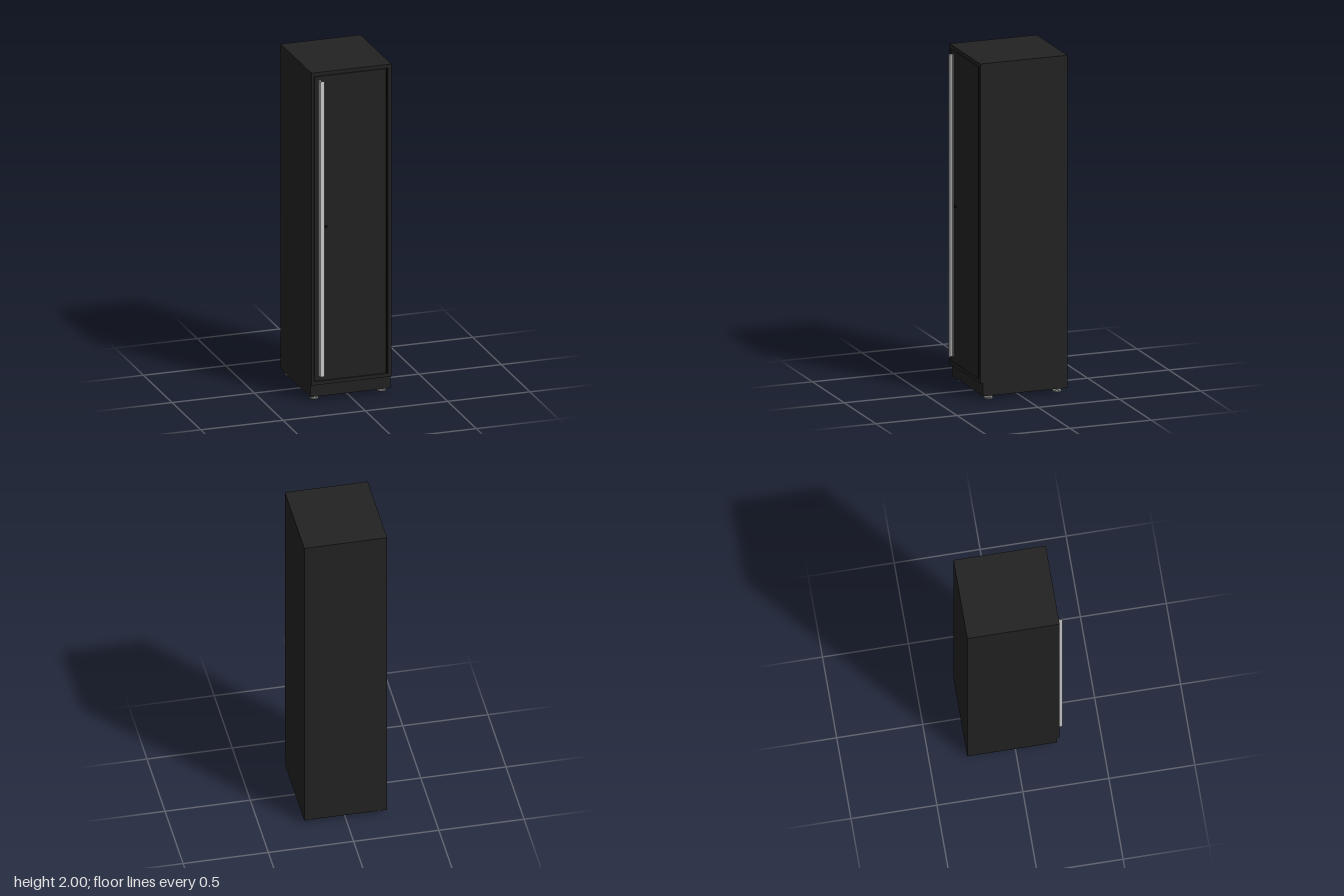
import * as THREE from 'three';

const black = new THREE.MeshStandardMaterial({ color: 0x222222 });
const dark = new THREE.MeshStandardMaterial({ color: 0x0c0c0c });
const grey = new THREE.MeshStandardMaterial({ color: 0xcccccc });
const footGrey = new THREE.MeshStandardMaterial({ color: 0x777777 });

const W = 0.243, BACK = -0.281, FRONT = 0.256;

function add(parent, name, geometry, material) {
  const mesh = new THREE.Mesh(geometry, material);
  mesh.name = name;
  parent.add(mesh);
  return mesh;
}

// Box given by its minimum and maximum corners
function block(parent, name, [x0, y0, z0], [x1, y1, z1], material) {
  const mesh = add(parent, name, new THREE.BoxGeometry(x1 - x0, y1 - y0, z1 - z0), material);
  mesh.position.set((x0 + x1) / 2, (y0 + y1) / 2, (z0 + z1) / 2);
  return mesh;
}

function polygon(points, Type = THREE.Shape) {
  return new Type(points.map(([x, y]) => new THREE.Vector2(x, y)));
}

function rectangle(x0, y0, x1, y1) {
  return [[x0, y0], [x1, y0], [x1, y1], [x0, y1]];
}

export function createModel() {
  const cabinet = new THREE.Group();
  cabinet.name = 'cabinet';

  // Carcass, whose lower front is the recessed plinth
  block(cabinet, 'carcass', [-W, 0.025, BACK], [W, 2, 0.24], black);

  // Front frame around the door opening
  const frameShape = polygon(rectangle(-W, 0.1, W, 2));
  frameShape.holes.push(polygon(rectangle(-0.226, 0.122, 0.222, 1.978).reverse(), THREE.Path));
  const frame = add(cabinet, 'frontFrame',
    new THREE.ExtrudeGeometry(frameShape, { depth: FRONT - 0.24, bevelEnabled: false }), black);
  frame.position.z = 0.24;

  // Inset door with a thin shadow gap
  block(cabinet, 'door', [-0.223, 0.125, 0.239], [0.21, 1.975, 0.2555], black);

  // Full-length hinge
  const hinge = add(cabinet, 'hinge', new THREE.CylinderGeometry(0.004, 0.004, 1.85, 16), dark);
  hinge.position.set(0.215, 1.05, 0.2545);

  // Long folded handle: back flange, web and front flange in one section
  const section = [
    [-0.184, 0.2555], [-0.198, 0.2555], [-0.199, 0.2565], [-0.199, 0.279],
    [-0.197, 0.281], [-0.172, 0.281], [-0.172, 0.278], [-0.196, 0.278],
    [-0.197, 0.277], [-0.197, 0.2575], [-0.184, 0.2575],
  ].map(([x, z]) => [x, -z]);
  const handle = add(cabinet, 'handle',
    new THREE.ExtrudeGeometry(polygon(section), { depth: 1.795, bevelEnabled: false }), grey);
  handle.rotation.x = -Math.PI / 2;
  handle.position.y = 0.155;

  // Lock beside the handle, with a keyway
  const lock = add(cabinet, 'lock', new THREE.CylinderGeometry(0.008, 0.009, 0.006, 24), dark);
  lock.rotation.x = Math.PI / 2;
  lock.position.set(-0.152, 1.055, 0.258);
  block(cabinet, 'keyway', [-0.153, 1.051, 0.2605], [-0.151, 1.059, 0.2613], black);

  // Levelling feet
  const profile = [[0, 0], [0.025, 0], [0.027, 0.002], [0.027, 0.008], [0.024, 0.011],
    [0.013, 0.013], [0.011, 0.015], [0.011, 0.026], [0, 0.026]]
    .map(([r, y]) => new THREE.Vector2(r, y));
  const footGeometry = new THREE.LatheGeometry(profile, 28);
  for (const x of [-0.204, 0.204]) {
    for (const z of [-0.231, 0.191]) {
      add(cabinet, 'foot', footGeometry, footGrey).position.set(x, 0, z);
    }
  }
  return cabinet;
}
